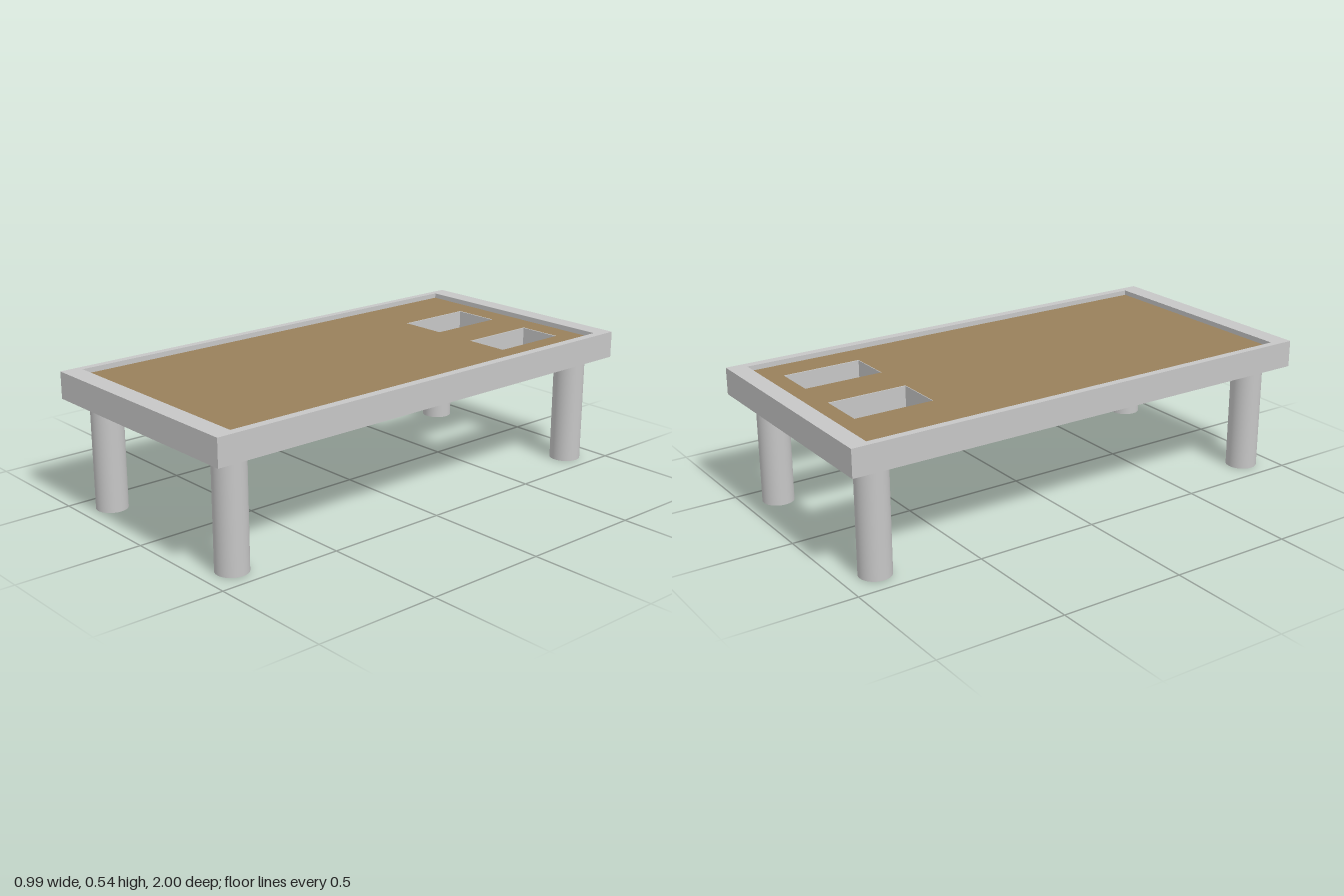
import * as THREE from 'three';

const BOTTOM = 0.435, TOP = 0.542, FELT = 0.522;

// Rectangle in plan; z is stored as -y so that the shape lies flat after rotation
function rect(Type, x0, x1, z0, z1) {
  const p = new Type();
  p.moveTo(x0, -z1);
  p.lineTo(x1, -z1);
  p.lineTo(x1, -z0);
  p.lineTo(x0, -z0);
  p.closePath();
  return p;
}

const flat = (geometry, y) => geometry.rotateX(-Math.PI / 2).translate(0, y, 0);
const slab = (shape, y0, y1) =>
  flat(new THREE.ExtrudeGeometry(shape, { depth: y1 - y0, bevelEnabled: false }), y0);

export function createModel() {
  const grey = new THREE.MeshStandardMaterial({ color: 0xc6c6c6 });
  grey.name = 'grey';
  const brown = new THREE.MeshStandardMaterial({ color: 0x98805b });
  brown.name = 'brown';

  const model = new THREE.Group();
  model.name = 'table';
  const add = (name, geometry, material) => {
    const mesh = new THREE.Mesh(geometry, material);
    mesh.name = name;
    model.add(mesh);
    return mesh;
  };

  // Raised border around the top
  const inner = [-0.465, 0.46, -0.927, 0.922];
  const border = rect(THREE.Shape, -0.495, 0.495, -1, 1);
  border.holes.push(rect(THREE.Path, ...inner));
  add('frame', slab(border, BOTTOM, TOP), grey);

  // Recessed panel with two rectangular openings
  const panel = rect(THREE.Shape, ...inner);
  panel.holes.push(
    rect(THREE.Path, -0.215, -0.018, -0.835, -0.513),
    rect(THREE.Path, 0.16, 0.34, -0.835, -0.513)
  );
  add('panel', slab(panel, BOTTOM, FELT - 0.002), grey);
  add('panelSurface', flat(new THREE.ShapeGeometry(panel), FELT), brown);

  // Four round legs
  const leg = new THREE.CylinderGeometry(0.0625, 0.0625, BOTTOM, 40);
  for (const [side, x] of [['Right', -0.382], ['Left', 0.388]]) {
    for (const [end, z] of [['front', 0.878], ['back', -0.868]]) {
      add(`${end}${side}Leg`, leg, grey).position.set(x, BOTTOM / 2, z);
    }
  }
  return model;
}
